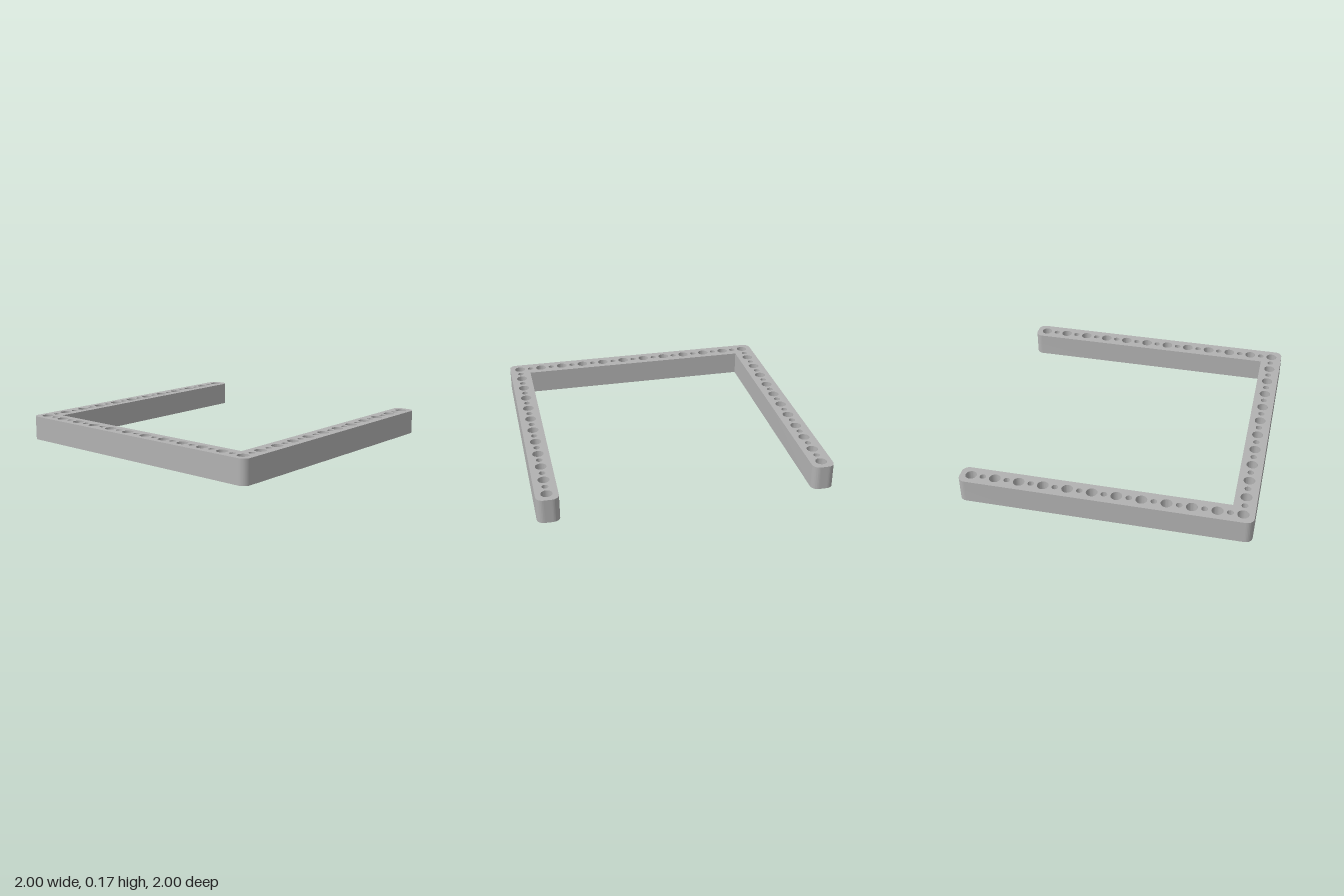
import * as THREE from 'three';
import { toCreasedNormals } from 'three/addons/utils/BufferGeometryUtils.js';

const WIDTH = 0.152;          // bar width
const HEIGHT = 0.17;          // bar thickness
const CORNER = 0.05;          // outer corner radius
const MID = 1 - WIDTH / 2;    // centre line of the bars
const STEP = (2 * MID) / 22;  // spacing between neighbouring holes

export function createModel() {
  const group = new THREE.Group();
  group.name = 'perforatedFrame';
  const grey = new THREE.MeshStandardMaterial({ color: 0xb2b2b2 });
  grey.name = 'grey';

  // U-shaped outline, drawn in plan with the closed side at y = -1
  const shape = new THREE.Shape();
  const inner = 1 - WIDTH;
  const c = 1 - CORNER;
  const corner = (x, y, quarter) =>
    shape.absarc(x, y, CORNER, quarter * Math.PI / 2, (quarter + 1) * Math.PI / 2, false);
  shape.moveTo(-c, -1);
  corner(c, -c, 3);
  corner(c, c, 0);
  corner(inner + CORNER, c, 1);
  shape.lineTo(inner, -inner);
  shape.lineTo(-inner, -inner);
  corner(-inner - CORNER, c, 0);
  corner(-c, c, 1);
  corner(-c, -c, 2);

  // Alternating large and small through holes along the three bars
  const hole = (x, y, i) => {
    const path = new THREE.Path();
    path.absarc(x, y, i % 2 ? 0.022 : 0.039, 0, Math.PI * 2, true);
    shape.holes.push(path);
  };
  for (let i = 0; i <= 22; i++) {
    const t = -MID + i * STEP;
    hole(-MID, t, i);
    hole(MID, t, i);
    if (i > 0 && i < 22) hole(t, -MID, i);
  }

  // Extrude upwards; keep edges sharp and curved walls smooth
  const geometry = new THREE.ExtrudeGeometry(shape, {
    depth: HEIGHT, bevelEnabled: false, curveSegments: 16,
  });
  geometry.rotateX(-Math.PI / 2);
  const frame = new THREE.Mesh(toCreasedNormals(geometry, 0.6), grey);
  frame.name = 'frame';
  group.add(frame);
  return group;
}
